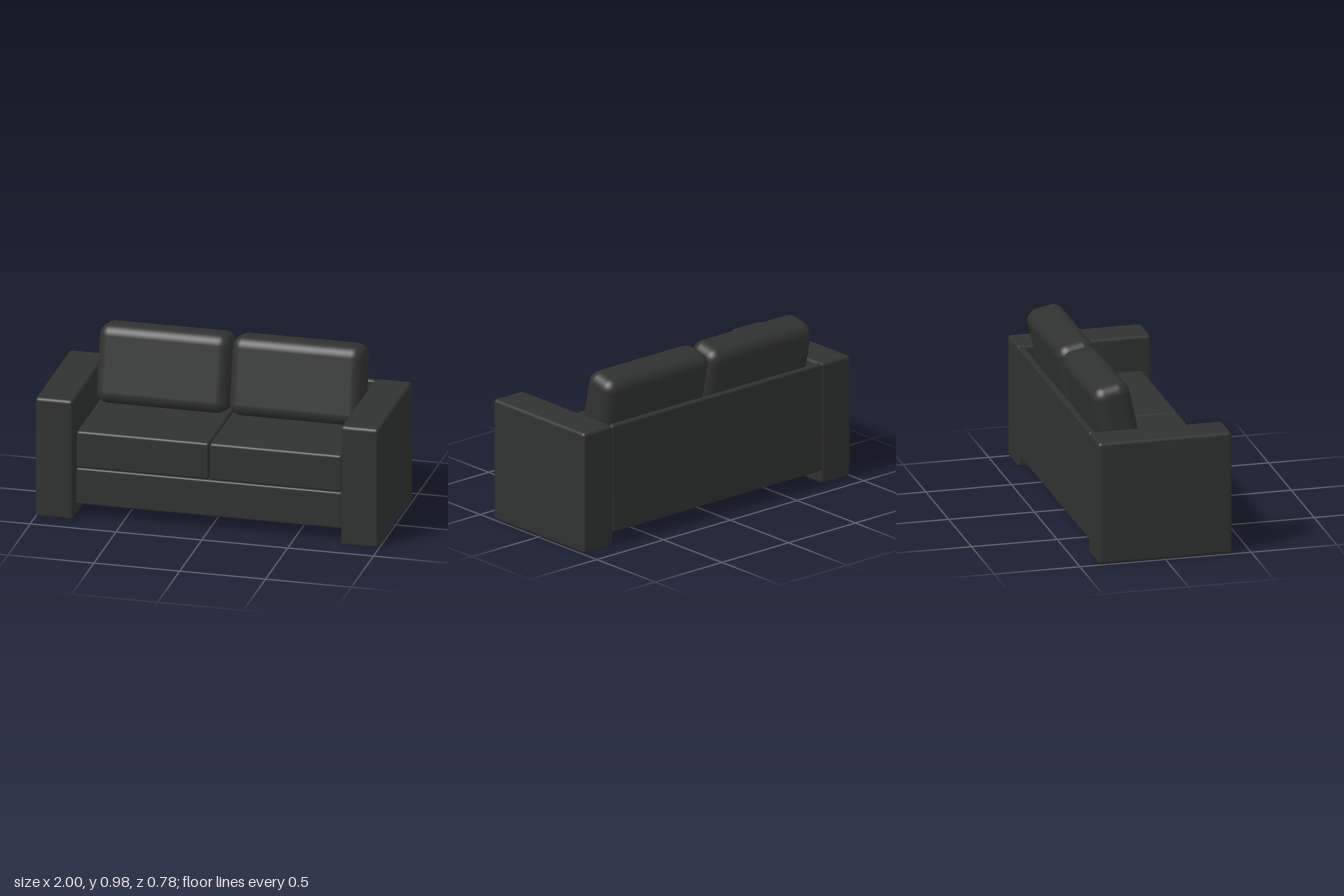
import * as THREE from 'three';
import { RoundedBoxGeometry } from 'three/addons/geometries/RoundedBoxGeometry.js';

export function createModel() {
  const sofa = new THREE.Group();
  sofa.name = 'sofa';
  const fabric = new THREE.MeshStandardMaterial({ color: 0x303231 });

  // Rounded block spanning the given [min, max] ranges
  function block(name, [x0, x1], [y0, y1], [z0, z1], radius, segments = 3) {
    const geometry = new RoundedBoxGeometry(x1 - x0, y1 - y0, z1 - z0, segments, radius);
    const mesh = new THREE.Mesh(geometry, fabric);
    mesh.name = name;
    mesh.position.set((x0 + x1) / 2, (y0 + y1) / 2, (z0 + z1) / 2);
    sofa.add(mesh);
    return mesh;
  }

  // Frame: seat base raised off the floor, and a thin back panel
  block('seatBase', [-0.775, 0.775], [0.08, 0.3], [-0.391, 0.338], 0.012);
  block('backPanel', [-0.79, 0.79], [0.08, 0.72], [-0.39, -0.35], 0.012);

  for (const [label, side] of [['left', 1], ['right', -1]]) {
    const span = (a, b) => (side > 0 ? [a, b] : [-b, -a]);

    // Arm reaching the floor
    block(label + 'Arm', span(0.78, 1), [0, 0.722], [-0.39, 0.39], 0.02);

    // Seat cushion
    block(label + 'SeatCushion', span(0.002, 0.772), [0.3, 0.522], [-0.35, 0.338], 0.015);

    // Plump back cushion leaning backwards
    const cushion = block(label + 'BackCushion', span(0.002, 0.772), [0.515, 0.975], [-0.318, -0.098], 0.07, 6);
    cushion.rotation.x = -0.21;
  }
  return sofa;
}
